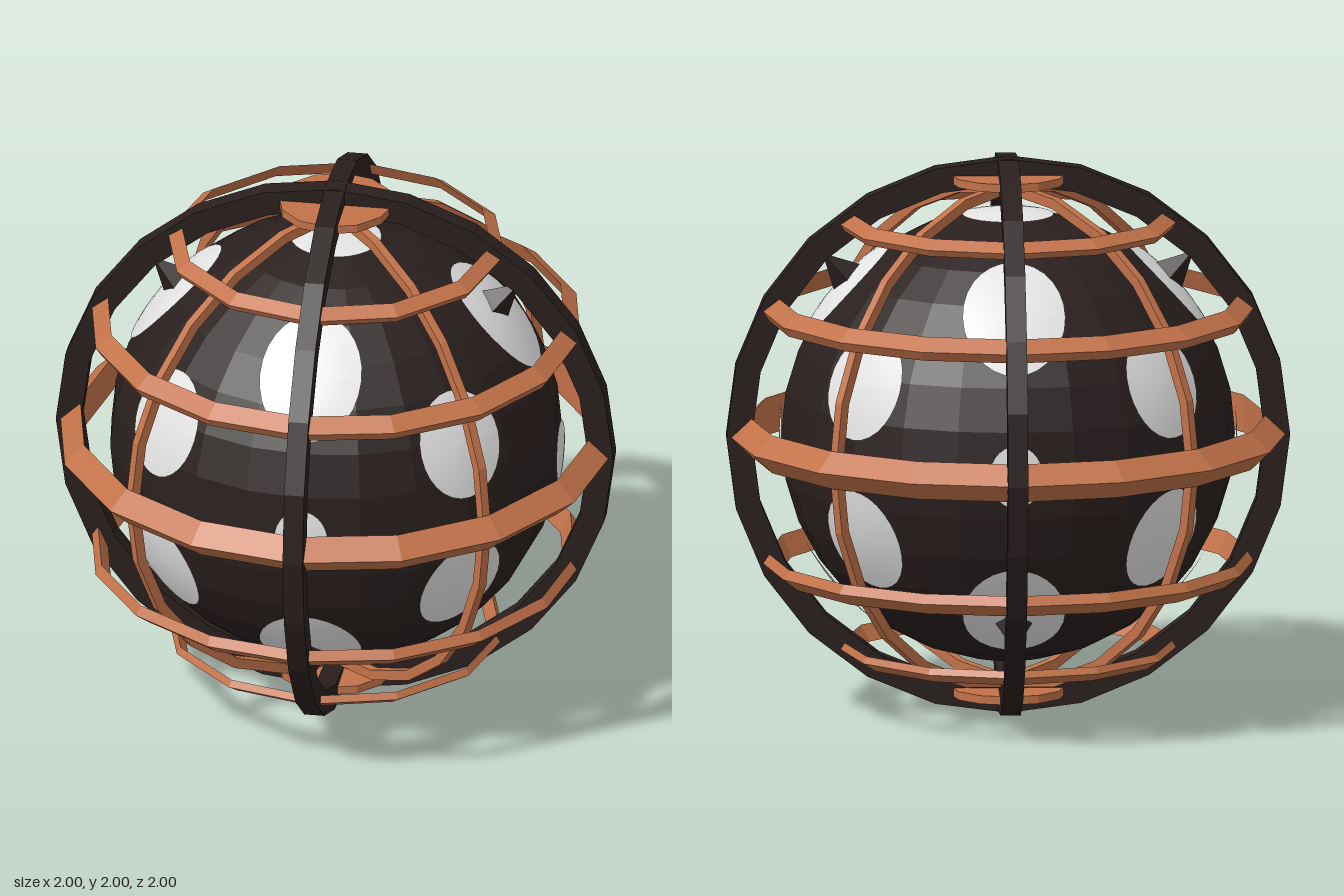
import * as THREE from 'three';

const dark = new THREE.MeshStandardMaterial({ color: 0x291f1e, flatShading: true });
dark.name = 'dark iron';
const copper = new THREE.MeshStandardMaterial({ color: 0xc27249, flatShading: true });
copper.name = 'copper';
const white = new THREE.MeshStandardMaterial({ color: 0xe4e4e4 });
white.name = 'white';

export function createModel() {
  const model = new THREE.Group();
  model.name = 'cagedSphere';
  const body = new THREE.Group();
  body.name = 'body';
  body.position.y = 1;
  model.add(body);

  const add = (name, geometry, material) => {
    const mesh = new THREE.Mesh(geometry, material);
    mesh.name = name;
    body.add(mesh);
    return mesh;
  };

  // Closed ring swept from a counter-clockwise [radius, height] section
  const ring = (section, sides) =>
    new THREE.LatheGeometry([...section, section[0]].map(([r, y]) => new THREE.Vector2(r, y)), sides);
  const boxSection = (inner, outer, half) => [[inner, -half], [outer, -half], [outer, half], [inner, half]];

  // Inner sphere
  add('core', new THREE.SphereGeometry(0.805, 24, 16), dark);

  // Rounded spots lying on the sphere, given by longitude, latitude and half angles
  const rad = THREE.MathUtils.degToRad;
  const spot = (lon, lat, halfWidth, halfHeight) => {
    const g = new THREE.RingGeometry(0, 1, 28, 4);
    const p = g.attributes.position;
    const v = new THREE.Vector3();
    for (let i = 0; i < p.count; i++) {
      v.set(p.getX(i) * Math.tan(rad(halfWidth)), p.getY(i) * Math.tan(rad(halfHeight)), 1).setLength(0.812);
      p.setXYZ(i, v.x, v.y, v.z);
    }
    g.computeVertexNormals();
    add('spot', g, white).rotation.set(-rad(lat), rad(lon), 0, 'YXZ');
  };
  for (let i = 0; i < 4; i++) {
    spot(i * 90, 0, 6.8, 8);
    for (const s of [-1, 1]) {
      spot(i * 90, s * 42.5, 13, 17);
      spot(i * 90 + 45, s * 20.5, 12, 14);
    }
  }
  spot(0, 90, 11.5, 11.5);
  spot(0, -90, 11.5, 11.5);

  // Two thick upright hoops
  for (const turn of [0, Math.PI / 2]) {
    const hoop = add('mainHoop', ring(boxSection(0.91, 1, 0.036), 24), dark);
    hoop.rotation.set(Math.PI / 2, 0, turn);
  }

  // Two thin diagonal hoops
  for (const turn of [Math.PI / 4, -Math.PI / 4]) {
    const hoop = add('diagonalHoop', ring(boxSection(0.875, 0.912, 0.016), 24), copper);
    hoop.rotation.set(Math.PI / 2, 0, turn);
  }

  // Level bands with a ridged outer edge: the ridge sits at (radius, 0)
  const band = (name, y, radius, [lowDepth, low], [highDepth, high], sides) => {
    const section = [[radius - lowDepth, -low], [radius, 0], [radius - highDepth, high]];
    add(name, ring(section, sides), copper).position.y = y;
  };
  band('equatorBand', 0, 0.99, [0.072, 0.068], [0.072, 0.068], 16);
  const mirroredBand = (name, y, radius, near, far, sides) => {
    band(name, y, radius, near, far, sides);
    band(name, -y, radius, far, near, sides);
  };
  mirroredBand('middleBand', 0.455, 0.877, [0.022, 0.034], [0.058, 0.045], 16);
  mirroredBand('polarBand', 0.767, 0.605, [0.015, 0.024], [0.05, 0.033], 12);
  for (const s of [-1, 1]) {
    add('poleDisc', new THREE.CylinderGeometry(0.205, 0.205, 0.03, 12), copper).position.y = s * 0.925;
  }

  // Four-sided spikes: upper pair at the sides, lower pair at front and back
  const up = new THREE.Vector3(0, 1, 0);
  for (const [x, y, z] of [[1, 1, 0], [-1, 1, 0], [0, -1, 1], [0, -1, -1]]) {
    const dir = new THREE.Vector3(x, y, z).normalize();
    const spike = add('spike', new THREE.ConeGeometry(0.075, 0.14, 4), dark);
    spike.position.copy(dir).multiplyScalar(0.86);
    spike.quaternion.setFromUnitVectors(up, dir);
  }

  return model;
}
